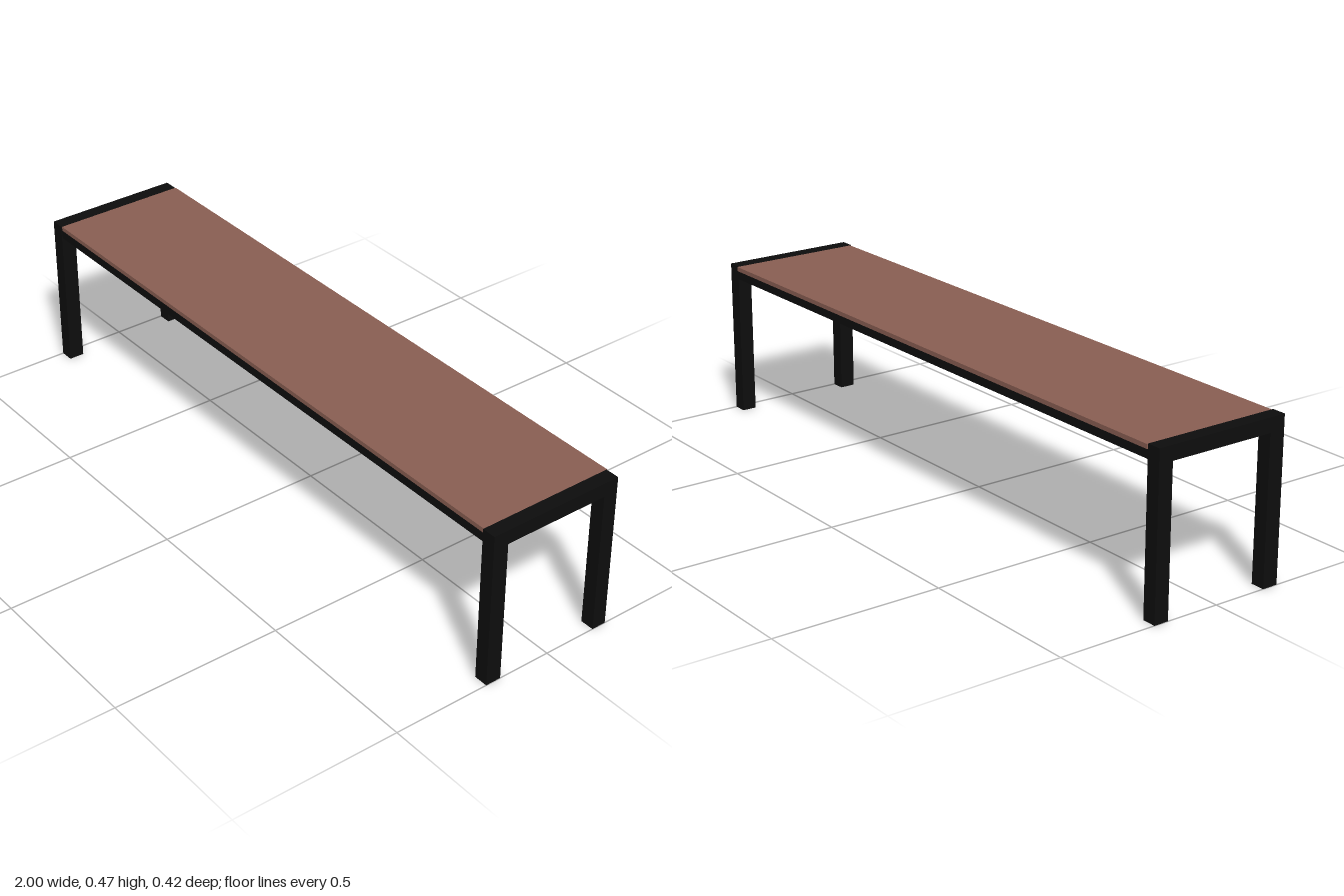
import * as THREE from 'three';

export function createModel() {
  const model = new THREE.Group();
  const frame = new THREE.MeshStandardMaterial({ name: 'black metal', color: 0x0d0d0d });
  const wood = new THREE.MeshStandardMaterial({ name: 'brown wood', color: 0x895e52 });

  // Box given by its lower and upper limits on each axis
  function box(name, material, [x0, x1], [y0, y1], [z0, z1]) {
    const mesh = new THREE.Mesh(new THREE.BoxGeometry(x1 - x0, y1 - y0, z1 - z0), material);
    mesh.position.set((x0 + x1) / 2, (y0 + y1) / 2, (z0 + z1) / 2);
    mesh.name = name;
    model.add(mesh);
  }

  const top = 0.467, inner = 0.958;
  const front = [0.161, 0.208], back = [-0.205, -0.161];

  // End frames: two legs joined by a crossbar
  for (const [side, x] of [['left', [inner, 1]], ['right', [-1, -inner]]]) {
    box(side + 'FrontLeg', frame, x, [0, top], front);
    box(side + 'BackLeg', frame, x, [0, top], back);
    box(side + 'Crossbar', frame, x, [0.425, top], [back[1], front[0]]);
  }

  // Long rails under the seat
  box('frontRail', frame, [-inner, inner], [0.427, 0.453], [0.161, 0.205]);
  box('backRail', frame, [-inner, inner], [0.427, 0.453], back);

  // Seat board
  box('seat', wood, [-inner, inner], [0.453, 0.466], [-0.208, 0.205]);

  return model;
}
